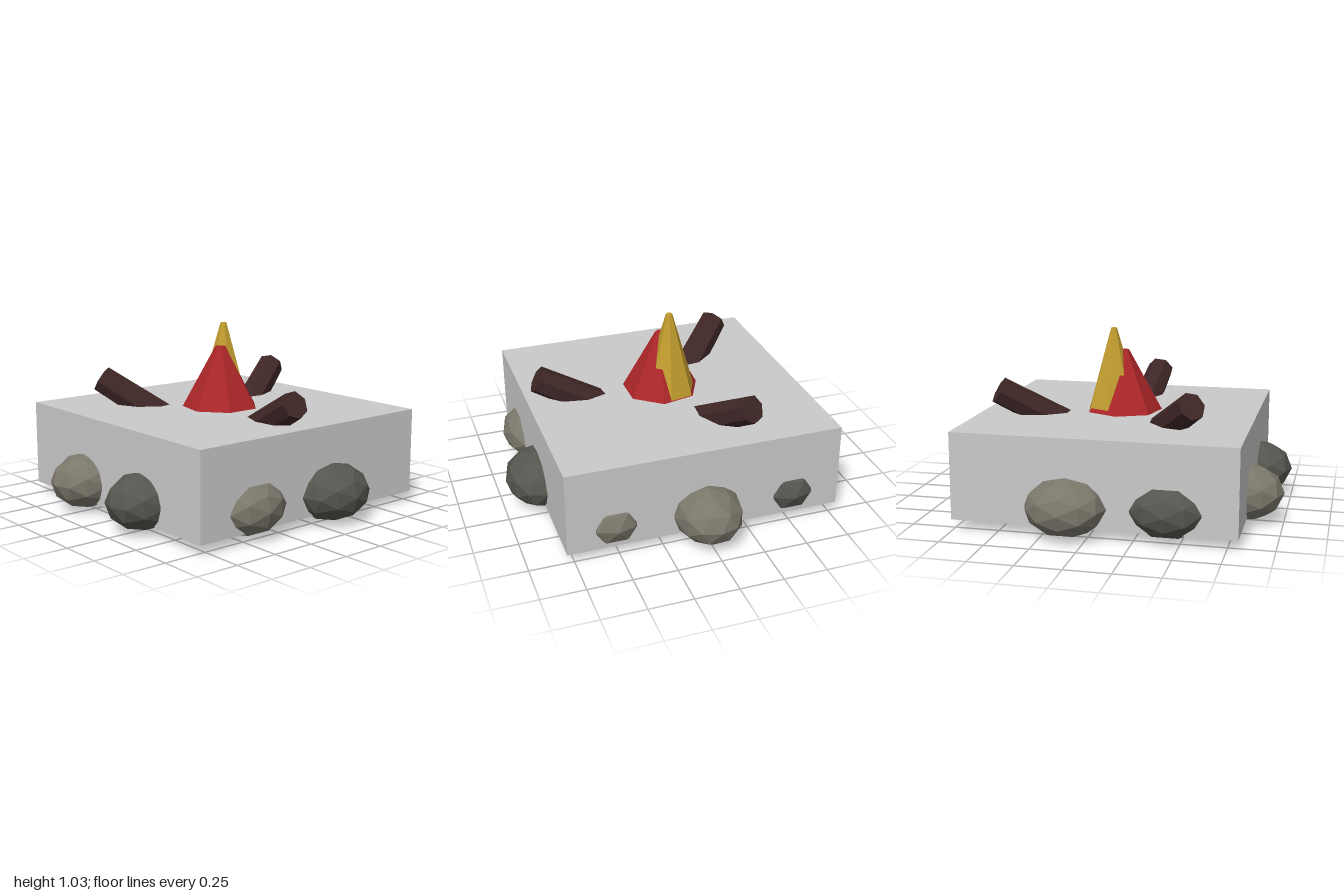
import * as THREE from 'three';

const mat = (name, color) => {
  const m = new THREE.MeshStandardMaterial({ color, flatShading: true });
  m.name = name;
  return m;
};

export function createModel() {
  const group = new THREE.Group();
  const pale = mat('pale grey', 0xcacaca);
  const lightStone = mat('light stone', 0x7b776b);
  const darkStone = mat('dark stone', 0x55564f);
  const wood = mat('charred wood', 0x3f2626);
  const red = mat('flame red', 0xac2629);
  const yellow = mat('flame yellow', 0xc29d2f);

  const add = (name, geometry, material, x, y, z) => {
    const mesh = new THREE.Mesh(geometry, material);
    mesh.name = name;
    mesh.position.set(x, y, z);
    group.add(mesh);
    return mesh;
  };

  // Block enclosing the fire pit
  add('block', new THREE.BoxGeometry(1.57, 0.49, 1.58), pale, -0.025, 0.3, 0);

  // Ring of nine alternating stones
  const stoneGeometry = new THREE.IcosahedronGeometry(1, 1);
  for (let i = 0; i < 9; i++) {
    const a = (i / 9) * Math.PI * 2;
    const stone = add('stone', stoneGeometry, i % 2 ? darkStone : lightStone,
      -0.025 + 0.8 * Math.cos(a), 0.17, -0.8 * Math.sin(a));
    stone.scale.set(0.225, 0.16, 0.193);
  }

  // Crossed logs, each from its buried foot to its raised end
  const up = new THREE.Vector3(0, 1, 0);
  const logs = [
    [[0, 0.085, -0.32], [-0.11, 0.67, 0.72]],
    [[0.14, 0.085, 0.25], [-0.515, 0.69, -0.52]],
    [[-0.32, 0.085, 0.15], [0.64, 0.685, -0.3]],
  ];
  for (const [foot, end] of logs) {
    const a = new THREE.Vector3(...foot), b = new THREE.Vector3(...end);
    const axis = b.clone().sub(a), mid = a.clone().add(b).multiplyScalar(0.5);
    const log = add('log', new THREE.CylinderGeometry(0.08, 0.1, axis.length(), 7),
      wood, mid.x, mid.y, mid.z);
    log.quaternion.setFromUnitVectors(up, axis.normalize());
  }

  // Two faceted flames
  const flame = (name, material, x, z, top, rTop, rBase) => {
    const base = 0.3;
    add(name, new THREE.CylinderGeometry(rTop, rBase, top - base, 7), material,
      x, (top + base) / 2, z).rotation.y = Math.PI;
  };
  flame('outerFlame', red, -0.027, 0, 0.9, 0.03, 0.357);
  flame('innerFlame', yellow, 0.025, -0.035, 1.03, 0.018, 0.228);

  return group;
}
